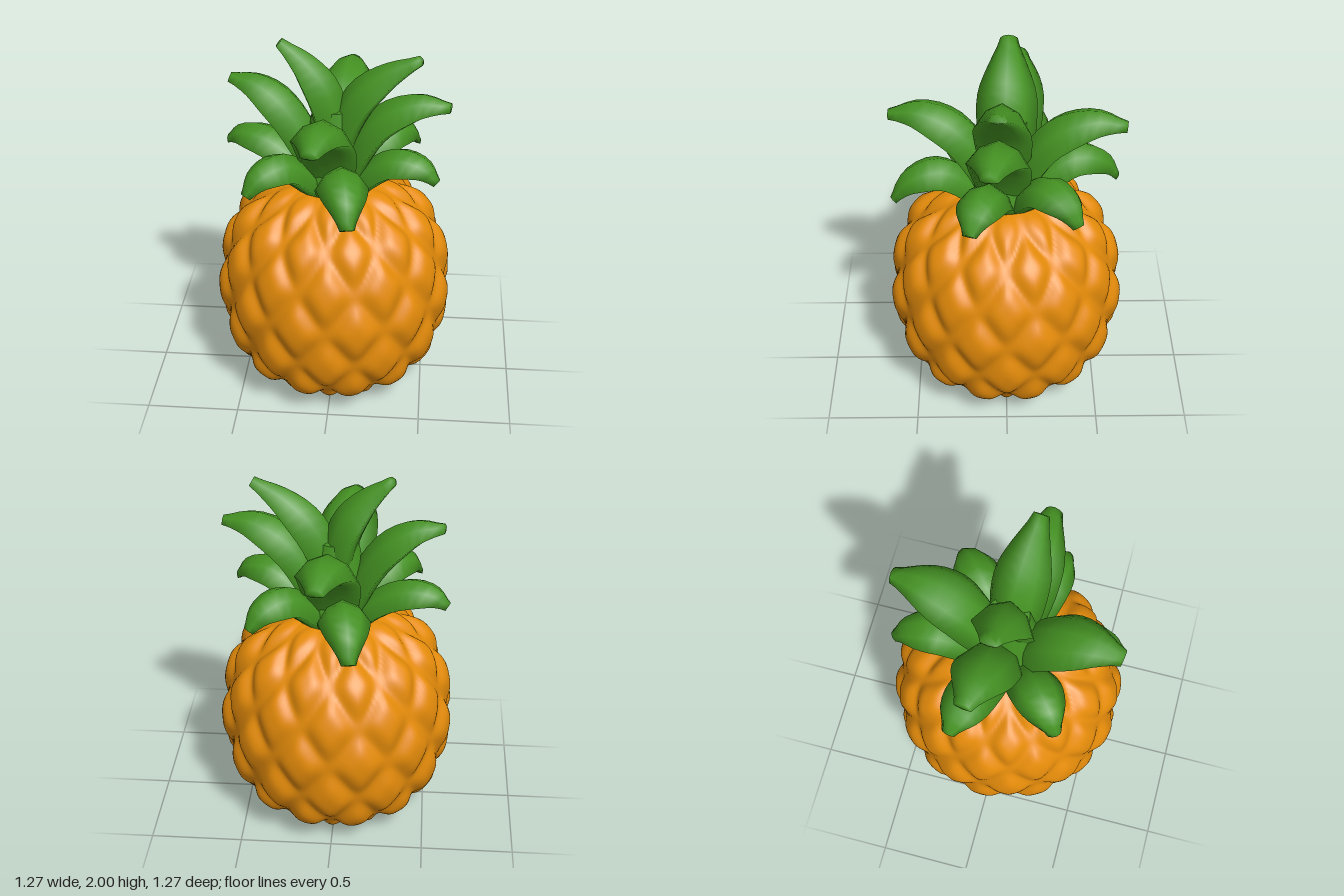
import * as THREE from 'three';
import { mergeVertices } from 'three/addons/utils/BufferGeometryUtils.js';

const skin = new THREE.MeshStandardMaterial({ color: 0xe48b0a });
skin.name = 'orange skin';
const green = new THREE.MeshStandardMaterial({ color: 0x449122 });
green.name = 'leaf green';

const COLUMNS = 12; // diamonds around the fruit
const TILE = 0.48; // height of one diamond along the skin

// Lathed fruit whose skin is pushed in along a diamond lattice of grooves
function fruitGeometry() {
  const profile = new THREE.SplineCurve([
    [0, 0.015], [0.22, 0.0], [0.37, 0.035], [0.515, 0.14], [0.605, 0.3], [0.647, 0.56],
    [0.628, 0.78], [0.56, 0.98], [0.445, 1.11], [0.3, 1.195], [0.16, 1.21], [0, 1.21],
  ].map(([x, y]) => new THREE.Vector2(x, y)));
  const rows = 160, cols = COLUMNS * 16;
  const points = profile.getSpacedPoints(rows);
  points[0].x = points[rows].x = 0;
  const length = profile.getLength();
  const middle = points.findIndex((p) => p.y > 0.84 && p.x > 0.5);
  const geometry = new THREE.LatheGeometry(points, cols);
  const pos = geometry.attributes.position;
  // 1 on a tile, easing down to 0 in the groove
  const pillow = (x) => {
    const a = Math.abs(x - Math.round(x)) * 2;
    return 1 - a ** 4 * (5 - 4 * a);
  };
  for (let i = 0; i < pos.count; i++) {
    const row = i % (rows + 1), col = Math.floor(i / (rows + 1)) % cols;
    const u = (col / cols) * COLUMNS;
    const v = ((row - middle) / rows) * length / TILE;
    const bump = pillow(u + v) * pillow(u - v);
    const fade = THREE.MathUtils.smoothstep(points[row].x, 0.15, 0.48);
    const k = 1 - 0.055 * (1 - bump) * fade;
    pos.setXYZ(i, pos.getX(i) * k, 0.58 + (pos.getY(i) - 0.58) * k, pos.getZ(i) * k);
  }
  geometry.deleteAttribute('uv');
  geometry.deleteAttribute('normal');
  const merged = mergeVertices(geometry, 1e-4);
  merged.computeVertexNormals();
  return merged;
}

// Thick leaf: an arched section swept along a path of [distance out, height]
function leafGeometry(path, halfWidth, thickness) {
  const curve = new THREE.CatmullRomCurve3(path.map(([r, y]) => new THREE.Vector3(0, y, r)));
  const widths = new THREE.SplineCurve(
    [[0, 0.65], [0.25, 0.9], [0.5, 1], [0.72, 0.95], [0.9, 0.64], [1, 0.28]]
      .map(([x, y]) => new THREE.Vector2(x, y)));
  const section = [[1, -0.45], [0.6, 0.4], [0, 0.8], [-0.6, 0.4], [-1, -0.45], [-0.55, -0.7], [0, -0.8], [0.55, -0.7]];
  const n = section.length, steps = 14;
  const vertices = [], index = [];
  for (let i = 0; i <= steps; i++) {
    const t = i / steps;
    const p = curve.getPoint(t), d = curve.getTangent(t);
    const w = widths.getPoint(t).y;
    for (const [s, h] of section) {
      const lift = h * thickness * w;
      vertices.push(s * halfWidth * w, p.y + d.z * lift, p.z - d.y * lift);
    }
  }
  for (let i = 0; i < steps; i++) {
    for (let j = 0; j < n; j++) {
      const a = i * n + j, b = i * n + (j + 1) % n;
      index.push(a, b, a + n, b, b + n, a + n);
    }
  }
  // Close both ends
  const end = steps * n;
  for (let j = 1; j < n - 1; j++) index.push(0, j + 1, j, end, end + j, end + j + 1);
  const geometry = new THREE.BufferGeometry();
  geometry.setAttribute('position', new THREE.Float32BufferAttribute(vertices, 3));
  geometry.setIndex(index);
  geometry.computeVertexNormals();
  return geometry;
}

export function createModel() {
  const model = new THREE.Group();
  model.name = 'pineapple';

  const fruit = new THREE.Mesh(fruitGeometry(), skin);
  fruit.name = 'fruit';
  model.add(fruit);

  const crown = new THREE.Group();
  crown.name = 'crown';
  model.add(crown);

  // Core that the leaves grow from
  const core = new THREE.Mesh(new THREE.CylinderGeometry(0.11, 0.21, 0.48, 16), green);
  core.name = 'crownCore';
  core.position.y = 1.4;
  crown.add(core);

  const addLeaf = (name, x, z, path, halfWidth, thickness) => {
    const leaf = new THREE.Mesh(leafGeometry(path, halfWidth, thickness), green);
    leaf.name = name;
    leaf.rotation.y = Math.atan2(x, z);
    crown.add(leaf);
  };

  // Low drooping leaves: tip position x, z and height
  for (const [x, z, tip] of [
    [-0.59, -0.165, 1.35], [0.55, 0.19, 1.31], [-0.435, 0.365, 1.28],
    [0.435, -0.37, 1.28], [-0.1, -0.6, 1.235], [0.11, 0.595, 1.235],
  ]) {
    const r = Math.hypot(x, z);
    addLeaf('lowLeaf', x, z,
      [[0.12, 1.16], [0.21, 1.28], [r * 0.6, 1.385], [r * 0.86, (1.39 + tip) / 2 + 0.03], [r, tip]], 0.135, 0.09);
  }

  // Middle arching leaves
  for (const [x, z, tip] of [
    [-0.555, -0.08, 1.755], [0.605, 0.085, 1.69], [-0.075, 0.61, 1.65], [0.065, -0.625, 1.65],
  ]) {
    const r = Math.hypot(x, z);
    const rise = (tip - 1.65) * 0.5;
    addLeaf('middleLeaf', x, z,
      [[0.07, 1.18], [0.15, 1.42], [0.27, 1.585 + rise * 0.5], [r * 0.74, 1.67 + rise], [r, tip]], 0.165, 0.105);
  }

  // Two tall top leaves
  addLeaf('topLeaf', -0.3, -0.02,
    [[-0.01, 1.25], [0.0, 1.5], [0.05, 1.71], [0.15, 1.86], [0.285, 1.98]], 0.16, 0.115);
  addLeaf('topLeaf', 0.44, 0.05,
    [[0.02, 1.25], [0.05, 1.5], [0.14, 1.7], [0.28, 1.835], [0.445, 1.93]], 0.15, 0.115);

  return model;
}
